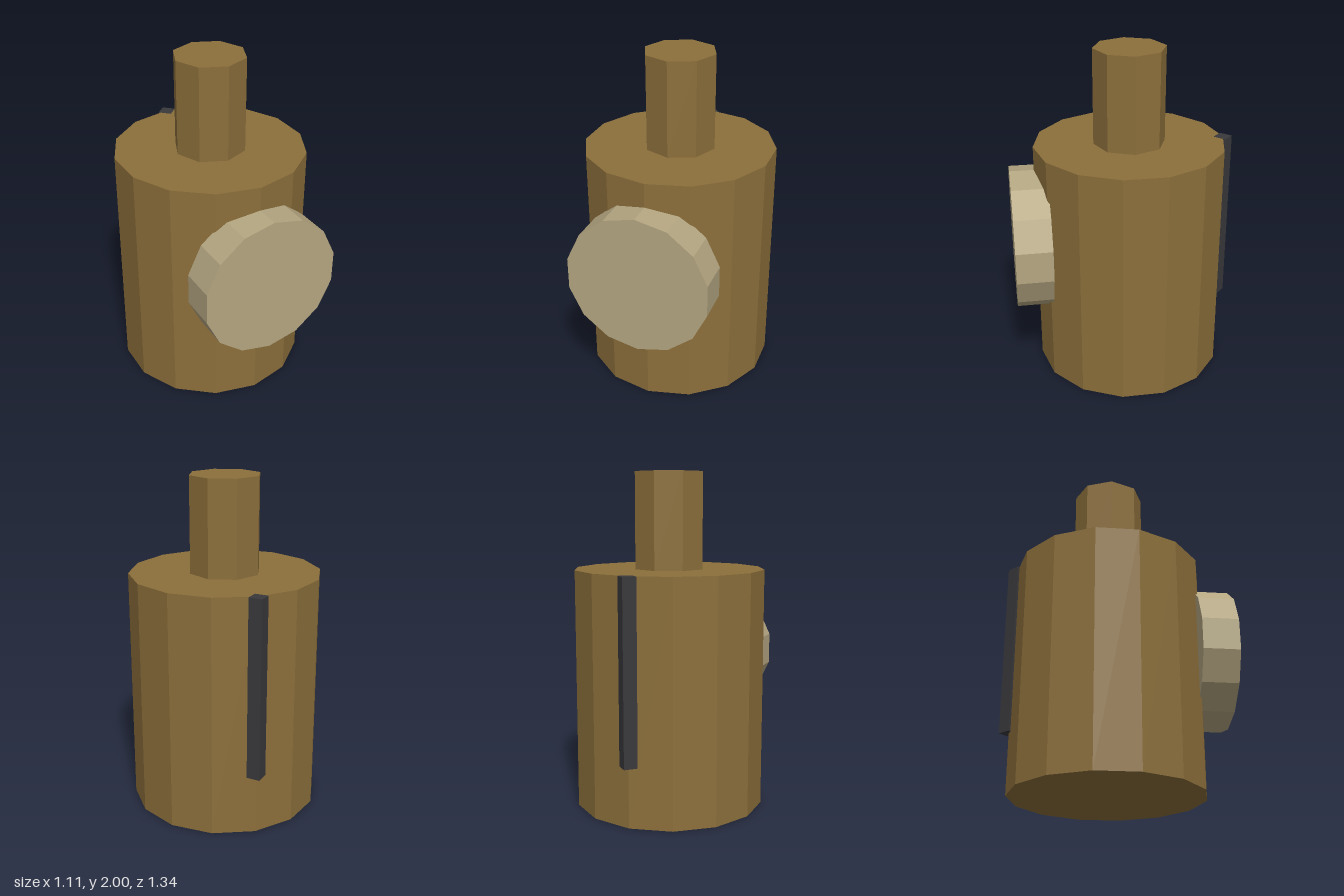
import * as THREE from 'three';

const mat = (name, color) => {
  const m = new THREE.MeshStandardMaterial({ color });
  m.name = name;
  return m;
};

// Low-poly prism with flat facets, centred on its own axis
function prism(name, radius, height, sides, material) {
  const geo = new THREE.CylinderGeometry(radius, radius, height, sides).toNonIndexed();
  geo.computeVertexNormals();
  const mesh = new THREE.Mesh(geo, material);
  mesh.name = name;
  return mesh;
}

export function createModel() {
  const model = new THREE.Group();
  model.name = 'bottle';
  const brown = mat('brown', 0x8c6f3b);
  const cream = mat('cream', 0xb4a681);
  const dark = mat('darkGrey', 0x39393c);
  const axisZ = -0.045;

  // Main body
  const body = prism('body', 0.57, 1.43, 14, brown);
  body.position.set(0, 0.715, axisZ);

  // Neck on top
  const neck = prism('neck', 0.214, 0.57, 8, brown);
  neck.position.set(0, 1.715, axisZ);

  // Round front disc
  const disc = prism('frontDisc', 0.428, 0.215, 14, cream);
  disc.rotation.x = Math.PI / 2;
  disc.position.set(0, 0.858, 0.5625);

  // Diamond-section strip down the back
  const strip = prism('backStrip', 0.057, 1.07, 4, dark);
  strip.position.set(0, 0.895, -0.614);

  model.add(body, neck, disc, strip);
  return model;
}
